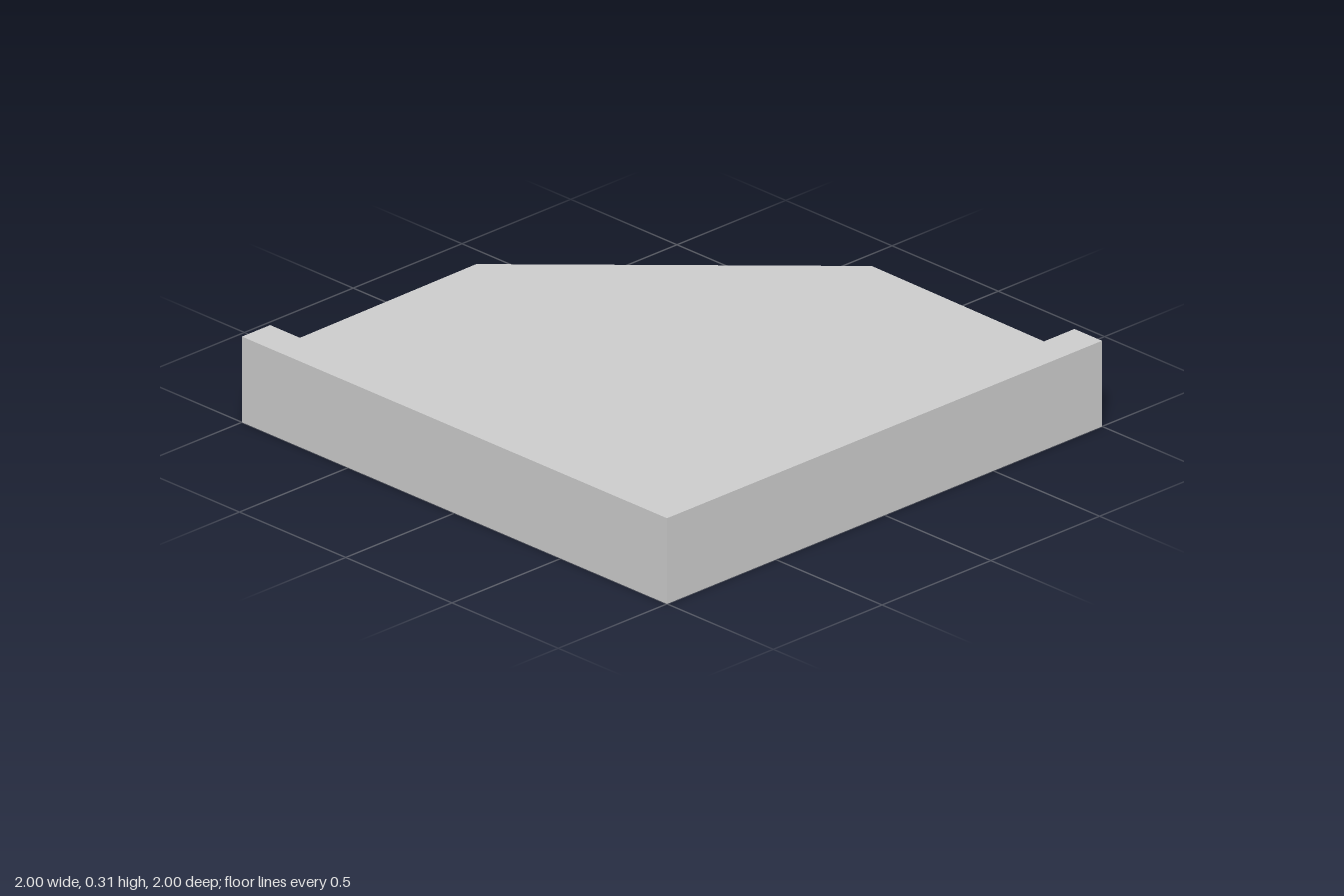
import * as THREE from 'three';

const HEIGHT = 0.31;
const RECESS = 0.012;
const material = new THREE.MeshStandardMaterial({ color: 0xcccccc, flatShading: true, side: THREE.DoubleSide });

// Footprint corners (x, z), anticlockwise seen from above
const footprint = [
  [-1, 1], [1, 1], [1, 0.87], [0.86, 0.87], [0.87, 0.05],
  [-0.05, -0.87], [-0.87, -0.86], [-0.87, -1], [-1, -1],
];

function mesh(geometry, name) {
  const m = new THREE.Mesh(geometry, material);
  m.name = name;
  return m;
}

// Strip joining an outline on the wall to the same outline set back from it
function rimGeometry(points, depth) {
  const positions = [];
  const index = [];
  points.forEach((p, i) => {
    positions.push(p.x, p.y, 0, p.x, p.y, -depth);
    if (i > 0) {
      const k = 2 * (i - 1);
      index.push(k, k + 1, k + 2, k + 1, k + 3, k + 2);
    }
  });
  const g = new THREE.BufferGeometry();
  g.setAttribute('position', new THREE.Float32BufferAttribute(positions, 3));
  g.setIndex(index);
  g.computeVertexNormals();
  return g;
}

// Set-back plate and its rim
function addRecess(wall, points, closed, name) {
  const plate = mesh(new THREE.ShapeGeometry(new THREE.Shape(points)), name);
  plate.position.z = -RECESS;
  const path = closed ? [...points, points[0]] : points;
  wall.add(plate, mesh(rimGeometry(path, RECESS), name + 'Rim'));
}

// Rectangular recess outline centred along a wall
function panelOutline(length) {
  const u0 = 0.12, u1 = length - 0.12;
  return [[u0, 0.03], [u1, 0.03], [u1, 0.27], [u0, 0.27]].map(([x, y]) => new THREE.Vector2(x, y));
}

// Doorway outline with a shallow arched head, open at the ground
function doorOutline() {
  const u0 = 0.46, u1 = 0.68, points = [new THREE.Vector2(u0, 0)];
  for (let i = 0; i <= 12; i++) {
    const t = i / 12;
    points.push(new THREE.Vector2(u0 + (u1 - u0) * t, 0.2 + 0.1 * t * (1 - t)));
  }
  points.push(new THREE.Vector2(u1, 0));
  return points;
}

// Wall between two footprint corners, facing outwards
function makeWall(a, b, feature) {
  const dx = b[0] - a[0], dz = b[1] - a[1];
  const length = Math.hypot(dx, dz);
  const wall = new THREE.Group();
  wall.name = feature ? feature + 'Wall' : 'wall';
  wall.position.set(a[0], 0, a[1]);
  wall.rotation.y = Math.atan2(-dz, dx);

  const door = feature === 'door' ? doorOutline() : [];
  const shape = new THREE.Shape([
    new THREE.Vector2(0, 0), ...door, new THREE.Vector2(length, 0),
    new THREE.Vector2(length, HEIGHT), new THREE.Vector2(0, HEIGHT),
  ]);
  if (feature === 'door') addRecess(wall, door, false, 'door');
  if (feature === 'panel') {
    const panel = panelOutline(length);
    shape.holes.push(new THREE.Path(panel));
    addRecess(wall, panel, true, 'sidePanel');
  }
  wall.add(mesh(new THREE.ShapeGeometry(shape), 'wallFace'));
  return wall;
}

export function createModel() {
  const model = new THREE.Group();
  model.name = 'cornerBuilding';

  // Walls, with recessed panels either side of the angled entrance
  const features = { 3: 'panel', 4: 'door', 5: 'panel' };
  footprint.forEach((a, i) => {
    model.add(makeWall(a, footprint[(i + 1) % footprint.length], features[i]));
  });

  // Flat roof; the underside stays open
  const roofShape = new THREE.Shape(footprint.map(([x, z]) => new THREE.Vector2(x, -z)));
  const roof = mesh(new THREE.ShapeGeometry(roofShape), 'roof');
  roof.rotation.x = -Math.PI / 2;
  roof.position.y = HEIGHT;
  model.add(roof);

  return model;
}
